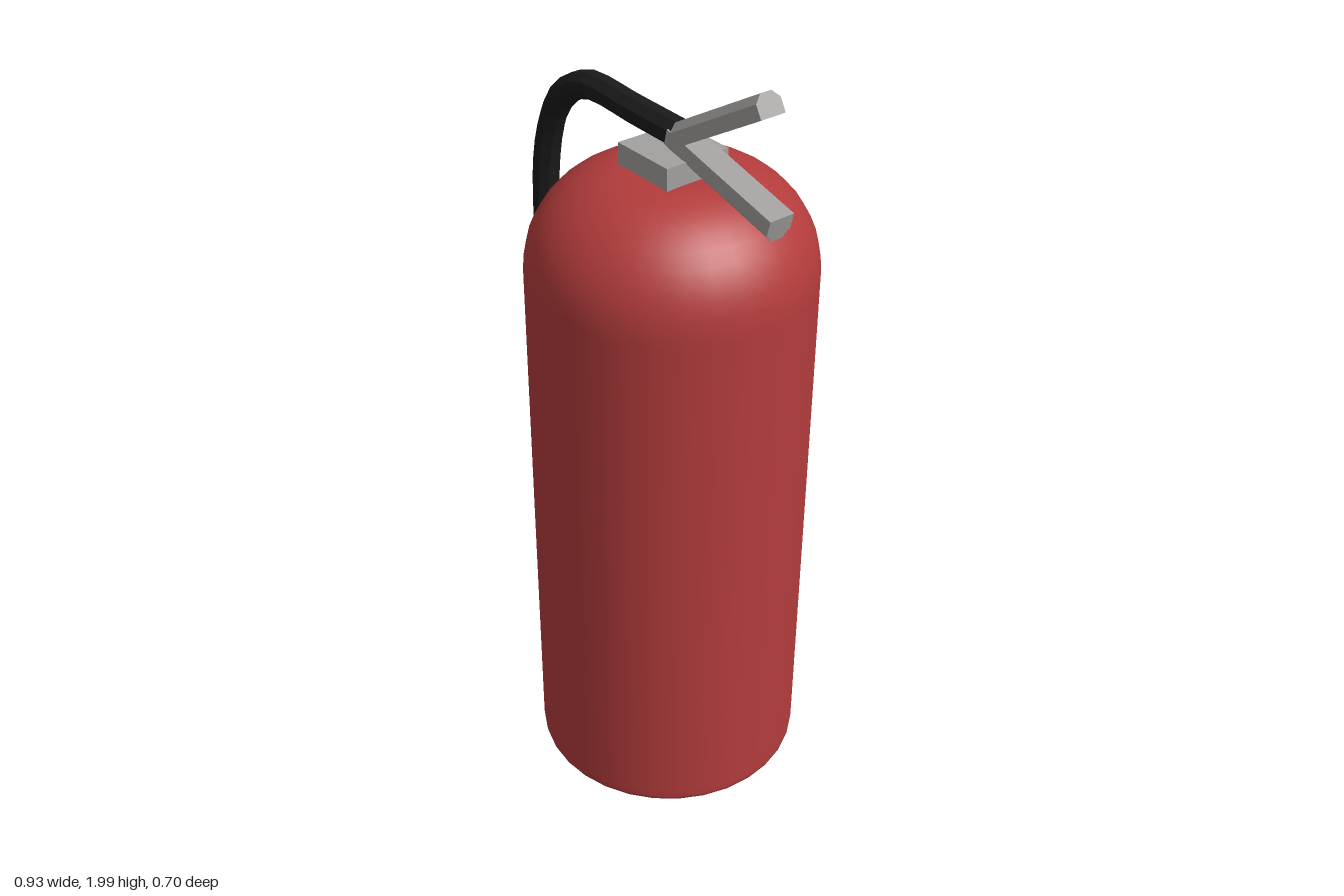
import * as THREE from 'three';

const material = (name, color) => {
  const m = new THREE.MeshStandardMaterial({ color });
  m.name = name;
  return m;
};

export function createModel() {
  const red = material('red paint', 0xb43c3c);
  const metal = material('grey metal', 0xa3a19f);
  const rubber = material('black rubber', 0x1b1b1b);

  const group = new THREE.Group();
  group.name = 'fireExtinguisher';
  const add = (name, geometry, mat, x = 0, y = 0, z = 0) => {
    const mesh = new THREE.Mesh(geometry, mat);
    mesh.name = name;
    mesh.position.set(x, y, z);
    group.add(mesh);
    return mesh;
  };

  // Tank: straight wall, small foot bevel and a rounded shoulder
  const tankX = 0.095;
  const profile = [[0, 0], [0.335, 0], [0.343, 0.003], [0.35, 0.01], [0.352, 0.02], [0.352, 0.04], [0.352, 1.44]]
    .map(([r, y]) => new THREE.Vector2(r, y));
  for (let i = 0; i <= 10; i++) {
    const a = (i / 10) * Math.PI / 2;
    profile.push(new THREE.Vector2(0.1 + 0.252 * Math.cos(a), 1.46 + 0.25 * Math.sin(a)));
  }
  profile.push(new THREE.Vector2(0, 1.71));
  add('tank', new THREE.LatheGeometry(profile, 32), red, tankX);

  // Valve block
  add('valveBlock', new THREE.BoxGeometry(0.178, 0.06, 0.178), metal, tankX, 1.734, 0);

  // Levers: flat on the inner side, chamfered on the outer side
  const lever = (name, length, height, outer, x, y, angle) => {
    const s = new THREE.Shape();
    const h = height * outer;
    s.moveTo(-0.034, 0);
    s.lineTo(0.034, 0);
    s.lineTo(0.034, h * 0.65);
    s.lineTo(0.015, h);
    s.lineTo(-0.015, h);
    s.lineTo(-0.034, h * 0.65);
    s.closePath();
    const g = new THREE.ExtrudeGeometry(s, { depth: length, bevelEnabled: false });
    g.rotateY(Math.PI / 2);
    g.rotateZ(angle);
    add(name, g, metal, x, y, 0);
  };
  lever('upperLever', 0.342, 0.054, 1, 0.128, 1.774, 0.531);
  lever('lowerLever', 0.362, 0.06, -1, 0.114, 1.818, -0.245);

  // Hose: octagonal section swept out of the valve and down the side
  const path = new THREE.CatmullRomCurve3([
    [0.135, 1.8], [-0.04, 1.803], [-0.22, 1.806], [-0.295, 1.773], [-0.35, 1.722],
    [-0.391, 1.637], [-0.415, 1.53], [-0.422, 1.4], [-0.43, 0.8], [-0.436, 0.25],
  ].map(([x, y]) => new THREE.Vector3(x, y, 0)));
  const octagon = new THREE.Shape(Array.from({ length: 8 }, (_, i) => {
    const a = (i + 0.5) * Math.PI / 4;
    return new THREE.Vector2(0.0355 * Math.cos(a), 0.0355 * Math.sin(a));
  }));
  add('hose', new THREE.ExtrudeGeometry(octagon, { steps: 40, extrudePath: path, bevelEnabled: false }), rubber);

  return group;
}
